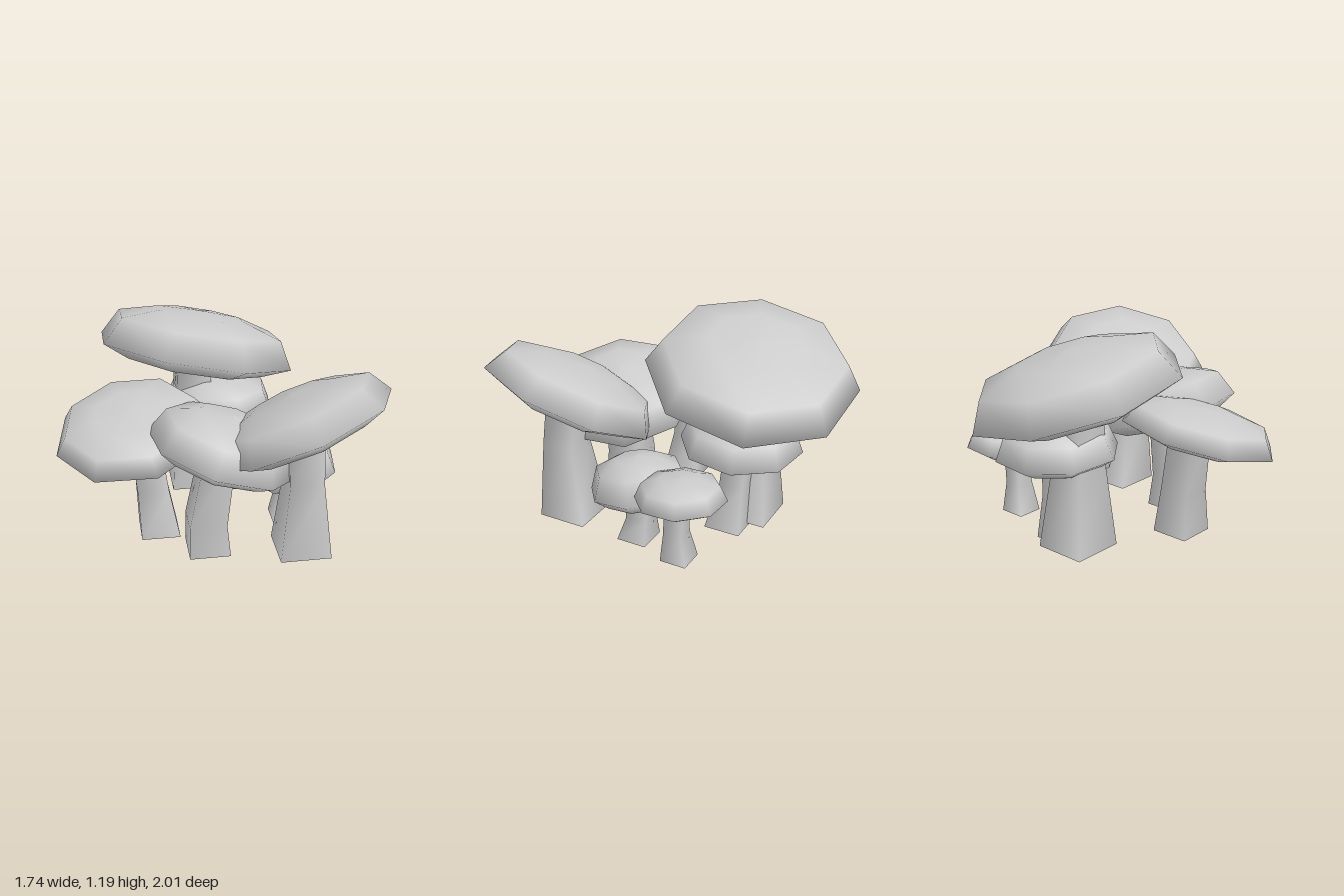
import * as THREE from 'three';
import { mergeVertices } from 'three/addons/utils/BufferGeometryUtils.js';

const material = new THREE.MeshStandardMaterial({ color: 0xcccccc });

// Cap outline for radius 1, from the underside centre over the rim to the crown
const CAP_PROFILE = [[0, -0.14], [0.4, -0.14], [0.72, -0.12], [1, 0], [0.85, 0.26], [0.45, 0.37], [0, 0.4]];

// cap: centre of the rim, radius, height factor, slope of the rim along x and z, corner angle
// stem: rings from the ground up as [x, y, z, radius]
const MUSHROOMS = [
  { name: 'tallBack', cap: { at: [0.158, 0.908, -0.43], r: 0.592, h: 1.02, slope: [-0.277, 0.04], turn: 14 },
    stem: [[0.16, 0.05, -0.45, 0.21], [0.15, 0.5, -0.46, 0.145], [0.16, 0.96, -0.44, 0.14]] },
  { name: 'tallFront', cap: { at: [0.035, 0.777, 0.56], r: 0.512, h: 0.98, slope: [0.16, 0.48], turn: 34 },
    stem: [[0.04, 0.045, 0.565, 0.2], [0.01, 0.5, 0.595, 0.132], [0.04, 0.84, 0.56, 0.13]] },
  { name: 'middleLeft', cap: { at: [-0.26, 0.618, 0.245], r: 0.42, h: 1.33, slope: [-0.3, -0.14], turn: 5 },
    stem: [[-0.33, 0.04, 0.2, 0.16], [-0.34, 0.23, 0.2, 0.145], [-0.28, 0.66, 0.24, 0.12]] },
  { name: 'backLeft', cap: { at: [-0.47, 0.65, -0.25], r: 0.44, h: 0.84, slope: [0.24, -0.1], turn: 23 },
    stem: [[-0.385, 0.03, -0.15, 0.155], [-0.395, 0.3, -0.19, 0.125], [-0.43, 0.68, -0.22, 0.115]] },
  { name: 'middleBack', cap: { at: [0.28, 0.553, -0.36], r: 0.342, h: 1.4, slope: [-0.04, 0.02], turn: 20 },
    stem: [[0.26, 0.03, -0.31, 0.15], [0.27, 0.3, -0.34, 0.1], [0.28, 0.6, -0.36, 0.09]] },
  { name: 'smallFront', cap: { at: [0.318, 0.325, 0.205], r: 0.283, h: 1.78, slope: [0.16, -0.06], turn: 20 },
    stem: [[0.29, 0, 0.215, 0.125], [0.315, 0.15, 0.2, 0.088], [0.325, 0.4, 0.2, 0.085]] },
  { name: 'smallRight', cap: { at: [0.638, 0.44, 0.02], r: 0.247, h: 1.27, slope: [0.07, -0.02], turn: 15 },
    stem: [[0.575, 0.03, 0.02, 0.108], [0.585, 0.2, 0.035, 0.075], [0.6, 0.47, 0.035, 0.068]] },
];

// Eight-sided domed cap, leaning along the given slopes
function makeCap({ at, r, h, slope, turn }) {
  const points = CAP_PROFILE.map(([x, y]) => new THREE.Vector2(x * r, y * r * h));
  const geometry = new THREE.LatheGeometry(points, 8);
  geometry.rotateY(-THREE.MathUtils.degToRad(turn));
  const cap = new THREE.Mesh(geometry, material);
  const normal = new THREE.Vector3(-slope[0], 1, -slope[1]).normalize();
  cap.quaternion.setFromUnitVectors(new THREE.Vector3(0, 1, 0), normal);
  cap.position.set(...at);
  cap.name = 'cap';
  return cap;
}

// Bent four-sided stem: each ring of an open cylinder moves to its own centre and width
function makeStem(rings) {
  const twist = THREE.MathUtils.degToRad(10);
  const count = rings.length - 1;
  let geometry = new THREE.CylinderGeometry(1, 1, count, 4, count, true);
  geometry.rotateY(twist);
  geometry.deleteAttribute('uv');
  geometry.deleteAttribute('normal');
  geometry = mergeVertices(geometry, 1e-4);
  const p = geometry.attributes.position;
  for (let i = 0; i < p.count; i++) {
    const [x, y, z, r] = rings[Math.round(p.getY(i) + count / 2)];
    p.setXYZ(i, x + p.getX(i) * r, y, z + p.getZ(i) * r);
  }
  geometry.computeVertexNormals();
  const stem = new THREE.Mesh(geometry, material);
  stem.name = 'stem';

  // Flat underside with a hard edge
  const [x, y, z, r] = rings[0];
  const base = new THREE.Mesh(new THREE.CircleGeometry(r, 4).rotateX(Math.PI / 2).rotateY(twist), material);
  base.position.set(x, y, z);
  base.name = 'stemBase';
  return [stem, base];
}

export function createModel() {
  const model = new THREE.Group();
  model.name = 'mushroomCluster';
  for (const { name, cap, stem } of MUSHROOMS) {
    const mushroom = new THREE.Group();
    mushroom.name = name + 'Mushroom';
    mushroom.add(makeCap(cap), ...makeStem(stem));
    model.add(mushroom);
  }
  return model;
}
